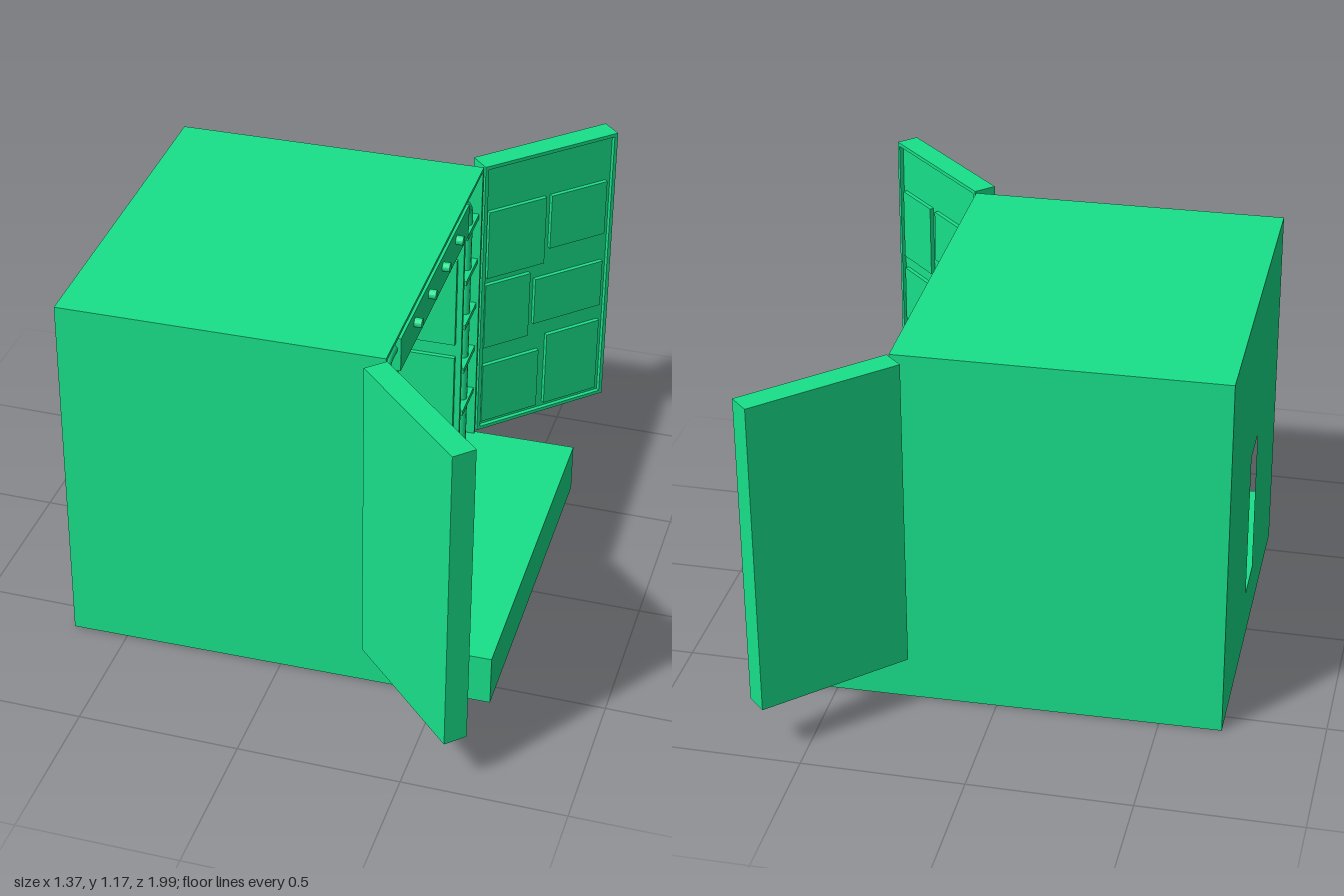
import * as THREE from 'three';

const green = new THREE.MeshStandardMaterial({ color: 0x18e08a, flatShading: true });
const smoothGreen = new THREE.MeshStandardMaterial({ color: 0x18e08a });

function add(parent, name, geometry, material = green) {
  const mesh = new THREE.Mesh(geometry, material);
  mesh.name = name;
  parent.add(mesh);
  return mesh;
}

// Box given by its minimum and maximum on each axis
function box(parent, name, x0, x1, y0, y1, z0, z1) {
  const g = new THREE.BoxGeometry(x1 - x0, y1 - y0, z1 - z0);
  g.translate((x0 + x1) / 2, (y0 + y1) / 2, (z0 + z1) / 2);
  return add(parent, name, g);
}

// Outline in the z-y plane, extruded along x
function slab(parent, name, outline, hole, x0, x1) {
  const toPoints = (list) => list.map(([z, y]) => new THREE.Vector2(-z, y));
  const shape = new THREE.Shape(toPoints(outline));
  if (hole) shape.holes.push(new THREE.Path(toPoints(hole)));
  const g = new THREE.ExtrudeGeometry(shape, { depth: x1 - x0, bevelEnabled: false });
  g.rotateY(Math.PI / 2);
  g.translate(x0, 0, 0);
  return add(parent, name, g);
}

const rect = (z, y0, y1) => [[-z, y0], [z, y0], [z, y1], [-z, y1]];
const arch = (z, top, inZ, inTop, y0) => [
  [-z, y0], [-inZ, y0], [-inZ, inTop], [inZ, inTop], [inZ, y0], [z, y0], [z, top], [-z, top],
];

const FLOOR = 0.165, TOP = 1.17, HALF = 0.585, BACK = -0.683, FACE = 0.26, FRONT = 0.315;
const CAVITY_Z = 0.41, CAVITY_TOP = 1.0, CAVITY_BACK = -0.5;

function buildBody() {
  const body = new THREE.Group();
  body.name = 'body';

  // Shell, base ledge and back wall with its slot
  box(body, 'base', BACK, 0.652, 0, FLOOR, -HALF, HALF);
  slab(body, 'backWall', rect(HALF, FLOOR, TOP), rect(0.075, 0.175, 0.66), BACK, -0.58);
  box(body, 'innerBackWall', -0.58, CAVITY_BACK, FLOOR, TOP, -HALF, HALF);
  slab(body, 'chamberWalls', arch(HALF, TOP, CAVITY_Z, CAVITY_TOP, FLOOR), null, CAVITY_BACK, FACE);
  slab(body, 'frontRim', arch(HALF, TOP, HALF - 0.012, TOP - 0.012, FLOOR), null, FACE, FRONT);
  slab(body, 'chamberFrame', arch(0.425, 1.012, CAVITY_Z, CAVITY_TOP, FLOOR), null, FACE, 0.3);

  // Ladder bars inside the back slot
  for (const z of [-0.03, 0.03]) box(body, 'slotRail', -0.66, -0.645, 0.175, 0.66, z - 0.008, z + 0.008);
  for (let i = 0; i < 4; i++) {
    const y = 0.26 + i * 0.105;
    box(body, 'slotRung', -0.665, -0.64, y, y + 0.016, -0.075, 0.075);
  }

  // Square pads on every wall of the chamber
  const t = 0.015, h = 0.156;
  for (const a of [-1, 1]) {
    for (const b of [-1, 1]) {
      const y = 0.59 + b * 0.181, z = a * 0.183, x = -0.065 + b * 0.19;
      box(body, 'backPad', CAVITY_BACK, CAVITY_BACK + t, y - h, y + h, z - h, z + h);
      box(body, 'floorPad', x - h, x + h, FLOOR, FLOOR + t, z - h, z + h);
      box(body, 'ceilingPad', x - h, x + h, CAVITY_TOP - t, CAVITY_TOP, z - h, z + h);
      const wx = -0.065 + a * 0.19;
      for (const s of [-1, 1]) {
        const z0 = s * CAVITY_Z, z1 = s * (CAVITY_Z - t);
        box(body, 'sidePad', wx - h, wx + h, y - h, y + h, Math.min(z0, z1), Math.max(z0, z1));
      }
    }
  }

  // Control box with knobs and mounting struts
  box(body, 'controlBox', FACE, 0.312, 1.02, 1.13, -0.41, 0.41);
  for (const z of [-0.25, -0.083, 0.083, 0.25]) {
    const knob = new THREE.CylinderGeometry(0.015, 0.015, 0.026, 16);
    knob.rotateZ(Math.PI / 2);
    knob.translate(0.322, 1.092, z);
    add(body, 'knob', knob);
    box(body, 'strut', FACE, 0.285, CAVITY_TOP, TOP - 0.01, z - 0.009, z + 0.009);
  }

  // Pipes on both sides, held by brackets
  for (const s of [-1, 1]) {
    const path = new THREE.CurvePath();
    const p = (y, z) => new THREE.Vector3(0.285, y, s * z);
    path.add(new THREE.LineCurve3(p(FLOOR, 0.505), p(1.03, 0.505)));
    path.add(new THREE.QuadraticBezierCurve3(p(1.03, 0.505), p(1.092, 0.505), p(1.092, 0.44)));
    path.add(new THREE.LineCurve3(p(1.092, 0.44), p(1.092, 0.4)));
    add(body, 'pipe', new THREE.TubeGeometry(path, 60, 0.017, 10), smoothGreen);
    for (let i = 0; i < 5; i++) {
      const y = 0.338 + i * 0.165;
      const z = s * 0.5;
      box(body, 'pipeBracket', FACE, 0.307, y - 0.009, y + 0.009, z - 0.075, z + 0.075);
    }
  }
  body.rotation.y = 0.015;
  return body;
}

// Door panels as [near, far, bottom, top], measured from the hinge
const backDoorPanels = [
  [0.02, 0.235, 0.755, 1.0], [0.255, 0.465, 0.805, 1.0],
  [0.015, 0.185, 0.49, 0.73], [0.205, 0.465, 0.53, 0.7],
  [0.015, 0.23, 0.2, 0.42], [0.26, 0.465, 0.2, 0.47],
];
const frontDoorPanels = [
  [0.29, 0.465, 0.76, 1.0], [0.025, 0.26, 0.825, 1.0],
  [0.225, 0.465, 0.525, 0.715], [0.025, 0.2, 0.585, 0.715],
  [0.275, 0.465, 0.2, 0.455], [0.025, 0.225, 0.36, 0.5],
  [0.175, 0.265, 0.2, 0.33], [0.025, 0.14, 0.2, 0.285],
];

function buildDoor(name, side, hingeX, panels) {
  const door = new THREE.Group();
  door.name = name;
  const L = 0.495, y0 = 0.17, y1 = TOP, w = 0.012;
  // Depth is measured outward from the inner face
  const part = (n, a, b, c, d, near, far) =>
    box(door, n, a, b, c, d, Math.min(side * near, side * far), Math.max(side * near, side * far));
  part('doorSlab', 0, L, y0, y1, 0.014, 0.075);
  part('doorRim', 0, w, y0, y1, 0, 0.014);
  part('doorRim', L - w, L, y0, y1, 0, 0.014);
  part('doorRim', w, L - w, y0, y0 + w, 0, 0.014);
  part('doorRim', w, L - w, y1 - w, y1, 0, 0.014);
  for (const [a, b, c, d] of panels) part('doorPanel', a, b, c, d, 0, 0.014);
  door.position.set(hingeX, 0, side * 0.592);
  door.rotation.y = -side * Math.PI / 4;
  return door;
}

export function createModel() {
  const model = new THREE.Group();
  model.name = 'openChamber';
  model.add(buildBody());
  model.add(buildDoor('frontDoor', 1, 0.33, frontDoorPanels));
  model.add(buildDoor('backDoor', -1, 0.312, backDoorPanels));
  return model;
}
